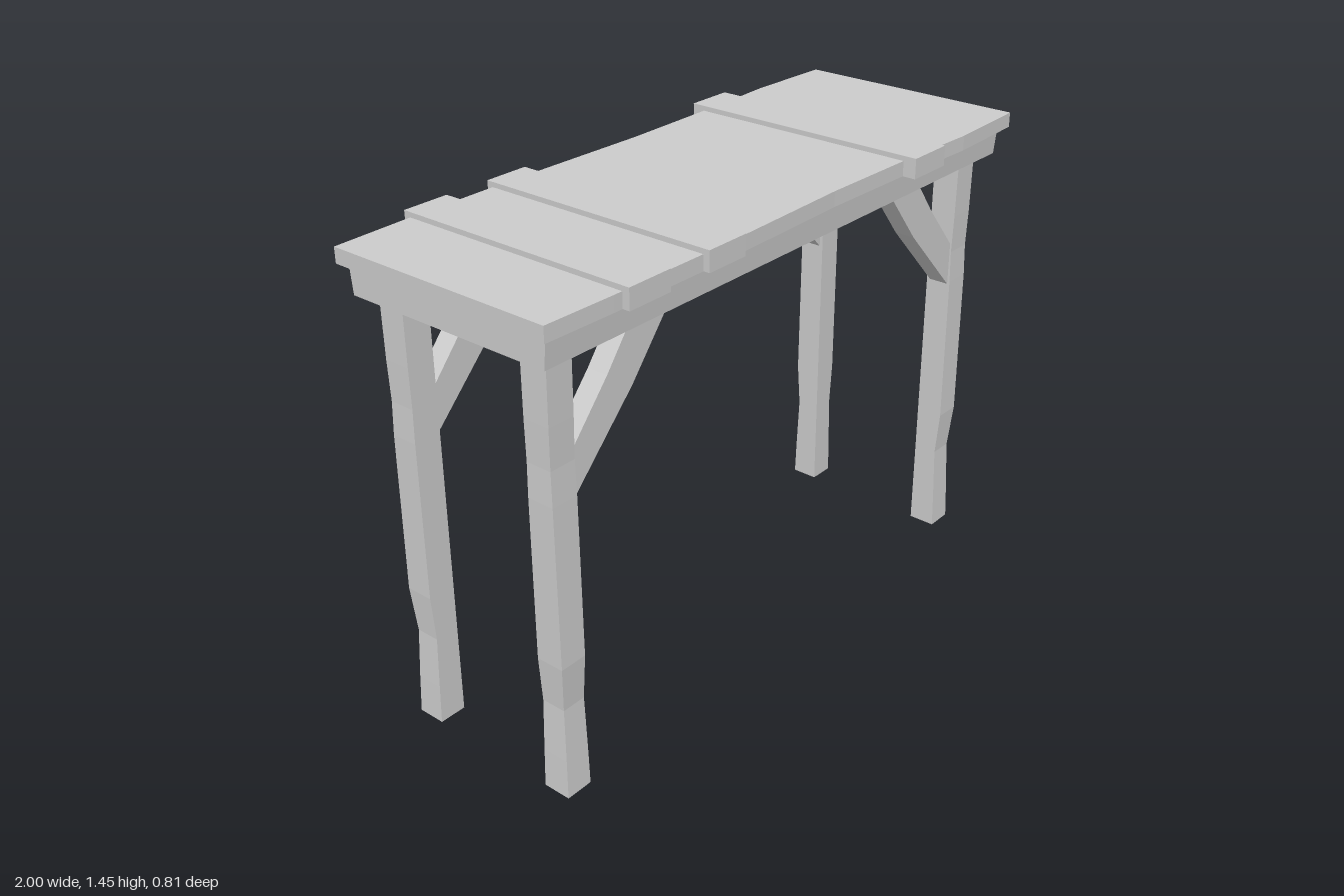
import * as THREE from 'three';

const wood = new THREE.MeshStandardMaterial({ color: 0xcccccc, flatShading: true });

function add(group, name, geometry, x = 0, y = 0, z = 0) {
  const mesh = new THREE.Mesh(geometry, wood);
  mesh.name = name;
  mesh.position.set(x, y, z);
  group.add(mesh);
  return mesh;
}

// Box given by its limits
function block(group, name, [x0, x1], [y0, y1], [z0, z1]) {
  return add(group, name, new THREE.BoxGeometry(x1 - x0, y1 - y0, z1 - z0),
    (x0 + x1) / 2, (y0 + y1) / 2, (z0 + z1) / 2);
}

// Slab whose long edges waver slightly
function tabletop() {
  const edge = [[-1, 0.36], [-0.78, 0.366], [-0.4, 0.368], [0.1, 0.357], [0.45, 0.364], [0.72, 0.376], [1, 0.366]];
  const shape = new THREE.Shape([
    ...edge.map(([x, z]) => new THREE.Vector2(x, -z)),
    ...edge.slice().reverse().map(([x, z]) => new THREE.Vector2(x, z)),
  ]);
  const g = new THREE.ExtrudeGeometry(shape, { depth: 0.045, bevelEnabled: false });
  return g.rotateX(-Math.PI / 2);
}

// Square post, open at the ends, with worn spots along its height
function post(sx, sz) {
  const rows = [ // height, wear in x, wear in z
    [1.385, 0, 0], [1.12, 0, 0.003], [1.0, 0.002, 0.006], [0.9, 0, 0.003],
    [0.42, 0, 0], [0.28, 0.01, 0.011], [0.12, 0.004, 0.004], [0, 0, 0],
  ];
  const g = new THREE.CylinderGeometry(Math.SQRT1_2, Math.SQRT1_2, 1, 4, rows.length - 1, true);
  g.rotateY(Math.PI / 4);
  const p = g.attributes.position;
  for (let i = 0; i < p.count; i++) {
    const [y, wx, wz] = rows[Math.floor(i / 5)];
    let x = Math.sign(p.getX(i)) * 0.0425, z = Math.sign(p.getZ(i)) * 0.043;
    if (x * sx > 0) x -= sx * wx;
    if (z * sz > 0) z -= sz * wz;
    p.setXYZ(i, x, y, z);
  }
  return g;
}

// Slightly bowed diagonal, from the post up to the underside of the top
function brace(sx) {
  const outline = [[0.87, 0.87], [0.845, 0.893], [0.63, 1.115], [0.48, 1.3], [0.41, 1.385],
    [0.555, 1.385], [0.625, 1.3], [0.72, 1.175], [0.845, 1.03], [0.87, 1.0]];
  const shape = new THREE.Shape(outline.map(([x, y]) => new THREE.Vector2(sx * x, y)));
  return new THREE.ExtrudeGeometry(shape, { depth: 0.064, bevelEnabled: false }).translate(0, 0, -0.032);
}

export function createModel() {
  const model = new THREE.Group();
  model.name = 'table';

  add(model, 'tabletop', tabletop(), 0, 1.385, 0);

  // Raised planks across the top
  for (const [x0, x1, half] of [[-0.75, -0.605, 0.388], [-0.46, -0.32, 0.387], [0.42, 0.57, 0.404]])
    block(model, 'crossPlank', [x0, x1], [1.385, 1.445], [-half, half]);

  // Hollow apron, its long rails leaning out a little at the top
  for (const s of [-1, 1]) {
    const rail = block(model, 'sideRail', [-0.977, 0.977], [1.3, 1.385], s < 0 ? [-0.332, -0.292] : [0.292, 0.332]);
    const p = rail.geometry.attributes.position;
    for (let i = 0; i < p.count; i++)
      if (p.getY(i) > 0 && p.getZ(i) * s > 0) p.setZ(i, p.getZ(i) + s * 0.008);
    rail.geometry.computeVertexNormals();
    block(model, 'endRail', s < 0 ? [-0.977, -0.935] : [0.935, 0.977], [1.3, 1.385], [-0.292, 0.292]);
  }

  // Legs with their braces
  for (const sx of [-1, 1])
    for (const sz of [-1, 1]) {
      add(model, 'leg', post(sx, sz), sx * 0.89, 0, sz * 0.249);
      add(model, 'brace', brace(sx), 0, 0, sz * 0.249);
    }
  return model;
}
